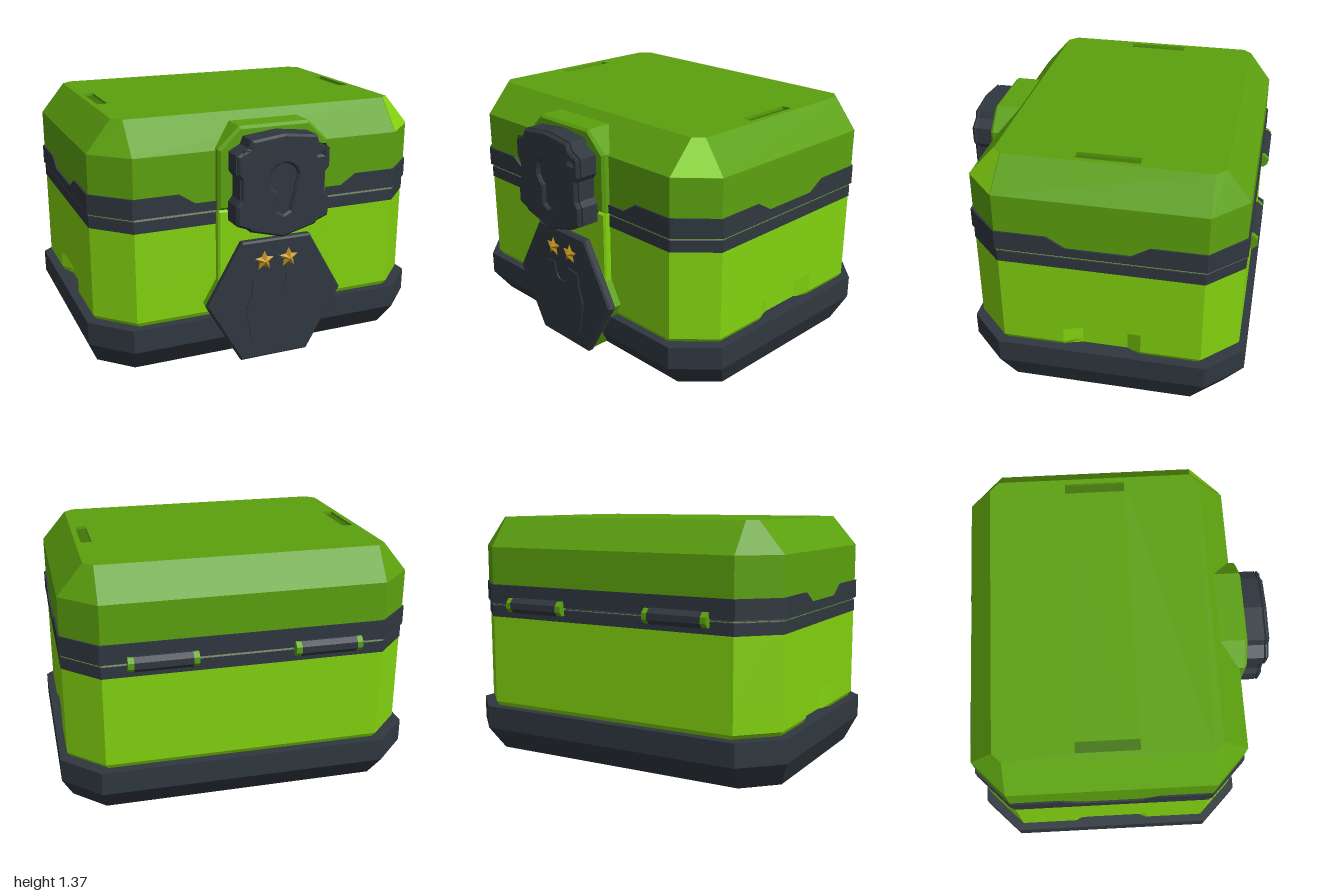
import * as THREE from 'three';

const mat = (name, color, extra = {}) => Object.assign(new THREE.MeshStandardMaterial({ color, flatShading: true, ...extra }), { name });

// Octagonal plan at height y: half width, front z, back z, corner cuts
const oct = (y, hx, zf, zb, cx, cz = cx) => [
  [cx - hx, y, zf], [hx - cx, y, zf], [hx, y, zf - cz], [hx, y, zb + cz],
  [hx - cx, y, zb], [cx - hx, y, zb], [-hx, y, zb + cz], [-hx, y, zf - cz]];

// Adds four points along both sides, pushed in by dx and lowered by dy in the middle
const sideNotch = (o, dx, dy) => {
  const zs = [0.15, 0.05, -0.2, -0.28], wide = [0.22, 0.12, -0.23, -0.33];
  const pts = (s) => (dy ? wide : zs).map((z, i) => {
    const mid = i === 1 || i === 2;
    return [s * (o[2][0] - (mid ? dx : 0)), o[2][1] - (mid ? dy : 0), z];
  });
  return [...o.slice(0, 3), ...pts(1), ...o.slice(3, 7), ...pts(-1).reverse(), o[7]];
};

// Skin over stacked outlines, closed at both ends
function loft(layers, capTop = true) {
  const v = [];
  const tri = (...p) => p.forEach((q) => v.push(...q));
  const n = layers[0].length;
  const centre = (l) => [0, Math.min(...l.map((p) => p[1])), -0.06];
  const first = layers[0], last = layers[layers.length - 1];
  for (let j = 0; j < n; j++) {
    const k = (j + 1) % n;
    for (let i = 0; i + 1 < layers.length; i++) {
      const a = layers[i], b = layers[i + 1];
      tri(a[j], a[k], b[k]);
      tri(a[j], b[k], b[j]);
    }
    tri(centre(first), first[k], first[j]);
    if (capTop) tri(centre(last), last[j], last[k]);
  }
  const g = new THREE.BufferGeometry();
  g.setAttribute('position', new THREE.Float32BufferAttribute(v, 3));
  g.computeVertexNormals();
  return g;
}

const outline = (pts) => new THREE.Shape(pts.map(([x, y]) => new THREE.Vector2(x, y)));
const mirrored = (pts) => [...pts, ...pts.filter(([x]) => x > 0).reverse().map(([x, y]) => [-x, y])];

// Front-facing slab between two depths
function slab(pts, z0, z1, bevel = 0, holes = []) {
  const s = outline(pts);
  s.holes = holes.map((h) => new THREE.Path(h.map(([x, y]) => new THREE.Vector2(x, y))));
  const g = new THREE.ExtrudeGeometry(s, {
    depth: z1 - z0 - 2 * bevel, bevelEnabled: bevel > 0, bevelSize: bevel,
    bevelThickness: bevel, bevelOffset: -bevel, bevelSegments: 1 });
  return g.translate(0, 0, z0 + bevel);
}

const rect = (x, y, w, h) => [[x - w / 2, y - h / 2], [x - w / 2, y + h / 2], [x + w / 2, y + h / 2], [x + w / 2, y - h / 2]];

export function createModel() {
  const lime = mat('lime body', 0x82d20f);
  const green = mat('lid green', 0x5ca10e);
  const deep = mat('recess green', 0x437509);
  const dark = mat('dark metal', 0x2f373f);
  const gold = mat('gold', 0xc0921c);
  const limeSheet = lime;
  const root = new THREE.Group();
  root.name = 'chest';
  const add = (name, geo, m) => {
    const mesh = new THREE.Mesh(geo, m);
    mesh.name = name;
    root.add(mesh);
    return mesh;
  };

  // Base and body, with a grip recess low on each side
  add('base', loft([oct(0, 0.94, 0.61, -0.73, 0.17), oct(0.14, 1, 0.715, -0.84, 0.2), oct(0.27, 1, 0.715, -0.84, 0.2)]), dark);
  const bodyAt = (y, inset = 0) => oct(y, 0.96 - inset, 0.68 - inset, -0.8 + inset, 0.19);
  add('body', loft([
    sideNotch(bodyAt(0.26, 0.02), 0.03, 0), sideNotch(bodyAt(0.295), 0.05, 0), sideNotch(bodyAt(0.38), 0.05, 0),
    sideNotch(bodyAt(0.41), 0, 0), sideNotch(bodyAt(0.87), 0, 0)]), lime);
  add('bodyTrim', loft([oct(0.8, 0.963, 0.683, -0.803, 0.19), oct(0.865, 0.963, 0.683, -0.803, 0.19), oct(0.88, 0.95, 0.67, -0.79, 0.19)]), dark);

  // Lid trim, dipping at the front and sides
  const trimAt = (y, dip) => {
    const o = sideNotch(oct(y, 0.97, 0.69, -0.81, 0.19), 0, dip);
    const low = y - (dip > 0.01 ? dip : 0);
    o.splice(1, 0, [-0.53, y, 0.69], [-0.44, low, 0.69], [0.44, low, 0.69], [0.53, y, 0.69]);
    return o;
  };
  add('lidTrim', loft([trimAt(0.88, 1e-6), trimAt(0.987, 0.06)]), dark);

  // Lid with sloped shoulders
  const shoulder = oct(1.2, 0.96, 0.68, -0.8, 0.19, 0.18);
  const crown = oct(1.37, 0.82, 0.53, -0.67, 0.05);
  add('lid', loft([oct(0.88, 0.96, 0.68, -0.8, 0.19, 0.18), shoulder, crown], false), green);
  const corner = new THREE.BufferGeometry();
  const [a, b, c, d] = [shoulder[1], shoulder[2], crown[2], crown[1]].map((p) => p.map((q) => q + 0.002));
  corner.setAttribute('position', new THREE.Float32BufferAttribute([a, b, c, a, c, d].flat(), 3));
  corner.computeVertexNormals();
  add('lidCornerFace', corner, limeSheet);

  // Lid top with two long recesses
  const slots = [-0.76, 0.76].map((x) => rect(x, 0.07, 0.06, 0.34));
  const top = slab(crown.map(([x, , z]) => [x, -z]), 0, 0.025, 0, slots);
  add('lidTop', top.rotateX(-Math.PI / 2).translate(0, 1.345, 0), green);
  for (const s of [-1, 1]) {
    add('lidSlotFloor', new THREE.BoxGeometry(0.07, 0.008, 0.35).translate(s * 0.76, 1.35, -0.07), deep);
  }

  // Front panels
  add('lowerPanel', slab(rect(0, 0.57, 0.64, 0.62), 0.6, 0.72, 0.01), lime);
  add('upperPanel', slab(mirrored([[0.32, 0.88], [0.32, 1.21], [0.2, 1.325]]), 0.5, 0.72, 0.015), green);

  // Hexagonal plate with green backing
  const hex = (r) => Array.from({ length: 6 }, (_, i) => [r * Math.cos(i * Math.PI / 3), 0.352 + r * Math.sin(i * Math.PI / 3)]);
  add('hexBacking', slab(hex(0.395), 0.58, 0.722), green);
  add('hexPlate', slab(hex(0.403), 0.72, 0.77, 0.01), dark);
  add('raisedInset', slab(mirrored([
    [0.13, 0.1], [0.145, 0.12], [0.18, 0.3], [0.15, 0.39], [0.14, 0.48], [0.06, 0.49], [0.05, 0.42], [0.02, 0.39]]), 0.768, 0.777), dark);

  // Faceted stars
  for (const s of [-1, 1]) {
    const g = new THREE.ConeGeometry(0.06, 0.025, 10).rotateX(Math.PI / 2);
    const p = g.attributes.position;
    for (let i = 0; i < p.count; i++) {
      const x = p.getX(i), y = p.getY(i);
      const step = Math.round((Math.atan2(y, x) - Math.PI / 2) / (Math.PI / 5));
      if (step % 2) p.setXY(i, x * 0.5, y * 0.5);
    }
    add('star', g.translate(s * 0.073, 0.582, 0.782), gold);
  }

  // Lock with keyhole and two small slits
  const lockShape = mirrored([
    [0, 0.735], [0.19, 0.785], [0.2, 0.8], [0.265, 0.825], [0.265, 0.93], [0.242, 0.96], [0.242, 1.07],
    [0.265, 1.1], [0.265, 1.2], [0.2, 1.235], [0.185, 1.275], [0, 1.297]]);
  const keyhole = [[0.036, 0.88], [0, 0.86], [-0.036, 0.88]];
  for (let i = 0; i <= 10; i++) {
    const t = -2.02 - i * (2 * Math.PI - 2.24) / 10;
    keyhole.push([0.08 * Math.cos(t), 1.06 + 0.08 * Math.sin(t)]);
  }
  add('lockBack', slab(lockShape, 0.7, 0.822), dark);
  add('lockFace', slab(lockShape, 0.82, 0.85, 0.012, [keyhole, rect(0.21, 1.19, 0.03, 0.05), rect(-0.21, 1.19, 0.03, 0.05)]), dark);

  // Rear hinges
  const barrel = (name, x, len, r, m) =>
    add(name, new THREE.CylinderGeometry(r, r, len, 8).rotateZ(Math.PI / 2).rotateX(Math.PI / 8).translate(x, 0.875, -0.807), m);
  for (const s of [-1, 1]) {
    barrel('hingeBarrel', s * 0.45, 0.31, 0.046, dark);
    barrel('hingeCap', s * 0.28, 0.035, 0.043, green);
    barrel('hingeCap', s * 0.62, 0.035, 0.043, green);
  }
  return root;
}
